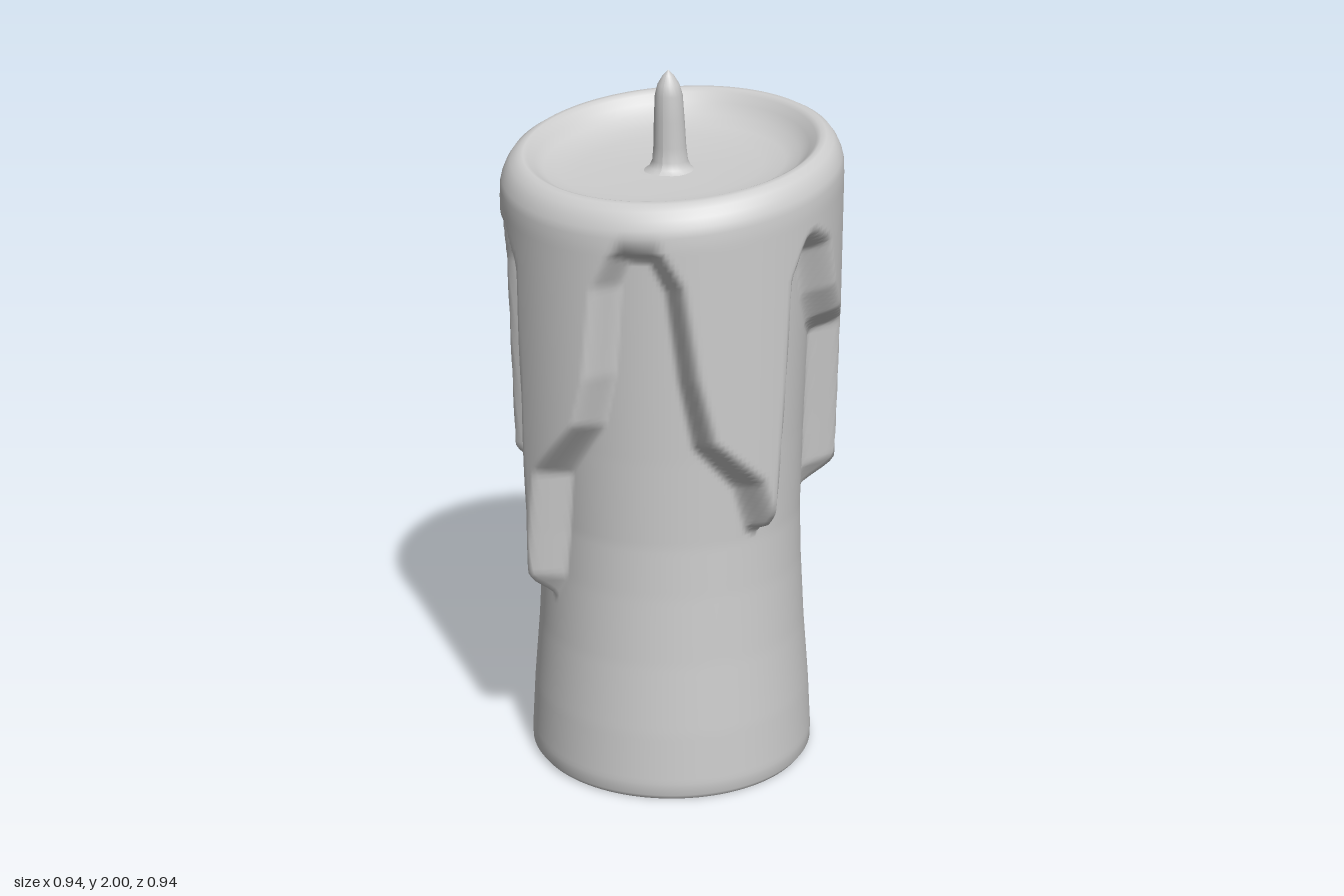
import * as THREE from 'three';

// Lower edge of the melted wax: [degrees from the front towards +x, height]
const DRIP_EDGE = [
  [0, 1.25], [3, 1.5], [8, 1.58], [17, 1.58], [23, 1.5], [28, 1.25], [34, 1.06], [52, 0.93],
  [58, 0.8], [63, 0.78], [67, 0.86], [70, 1.2], [72, 1.5], [77, 1.58], [84, 1.55], [90, 1.42],
  [98, 1.33], [108, 1.28], [114, 0.86], [120, 0.79], [126, 0.85], [132, 1.5], [138, 1.58],
  [148, 1.56], [168, 1.3], [187, 1.19], [193, 0.84], [200, 0.77], [207, 0.84], [227, 1.03],
  [232, 1.5], [238, 1.57], [257, 1.57], [262, 1.45], [266, 0.9], [275, 0.79], [285, 0.85],
  [290, 1.45], [295, 1.57], [308, 1.57], [316, 1.5], [320, 0.62], [325, 0.54], [331, 0.61],
  [336, 0.93], [355, 1.1], [360, 1.25],
];
const OUTER = 0.47;
const SEGMENTS = 240;
const SIDE_ROWS = 110;

// Rim and bowl loops: [radius, height above 1.8, slope towards the front]
const TOP_LOOPS = [
  [0.469, -0.075, 0.165], [0.464, -0.055, 0.165], [0.454, -0.033, 0.165], [0.44, -0.014, 0.165],
  [0.42, -0.002, 0.165], [0.405, -0.001, 0.165], [0.392, -0.008, 0.16], [0.375, -0.026, 0.15],
  [0.35, -0.046, 0.13], [0.31, -0.06, 0.11], [0.25, -0.067, 0.1], [0.17, -0.071, 0.09],
  [0.1, -0.073, 0.08], [0.03, -0.073, 0.05],
];

// Radius of the solid candle under the melted layer
const CORE = [[0, 0.4], [0.015, 0.411], [0.05, 0.411], [0.2, 0.402], [0.4, 0.385],
  [0.6, 0.373], [0.75, 0.368], [1, 0.372], [1.6, 0.39], [2, 0.4]];

function sample(table, t) {
  let i = 1;
  while (i < table.length - 1 && t > table[i][0]) i++;
  const [t0, v0] = table[i - 1], [t1, v1] = table[i];
  return v0 + (v1 - v0) * (t - t0) / (t1 - t0);
}

// Signed distance to the drip edge on the unrolled wall, positive inside the wax
function dripDistance(deg, y) {
  const arc = 0.43 * Math.PI / 180;
  let best = Infinity;
  for (let i = 1; i < DRIP_EDGE.length; i++) {
    const [a0, y0] = DRIP_EDGE[i - 1], [a1, y1] = DRIP_EDGE[i];
    for (const turn of [-360, 0, 360]) {
      const px = (deg + turn - a0) * arc, py = y - y0;
      const dx = (a1 - a0) * arc, dy = y1 - y0;
      const t = THREE.MathUtils.clamp((px * dx + py * dy) / (dx * dx + dy * dy), 0, 1);
      best = Math.min(best, Math.hypot(px - dx * t, py - dy * t));
    }
  }
  return y > sample(DRIP_EDGE, deg) ? best : -best;
}

function bodyGeometry() {
  const positions = [], index = [];
  const rows = SIDE_ROWS + TOP_LOOPS.length;
  for (let row = 0; row < rows; row++) {
    for (let s = 0; s < SEGMENTS; s++) {
      const deg = s * 360 / SEGMENTS;
      const a = deg * Math.PI / 180;
      let r, y;
      if (row < SIDE_ROWS) {
        // Wall with the drips raised from the core
        const top = 1.69 - 0.165 * OUTER * Math.cos(a);
        y = row < 3 ? CORE[row][0] : 0.05 + (top - 0.05) * (row - 2) / (SIDE_ROWS - 3);
        const core = sample(CORE, y);
        const wax = THREE.MathUtils.smoothstep(dripDistance(deg, y), -0.012, 0.045);
        r = core + (OUTER - core) * wax;
      } else {
        // Slanted rim and hollow top
        const [radius, height, slope] = TOP_LOOPS[row - SIDE_ROWS];
        r = radius;
        y = 1.8 + height - slope * r * Math.cos(a);
      }
      positions.push(r * Math.sin(a), y, r * Math.cos(a));
      if (row < rows - 1) {
        const p = row * SEGMENTS + s, q = row * SEGMENTS + (s + 1) % SEGMENTS;
        index.push(p, q, q + SEGMENTS, p, q + SEGMENTS, p + SEGMENTS);
      }
    }
  }
  const geometry = new THREE.BufferGeometry();
  geometry.setAttribute('position', new THREE.Float32BufferAttribute(positions, 3));
  geometry.setIndex(index);
  geometry.computeVertexNormals();
  return geometry;
}

// Slightly leaning wick with a flared foot and a pointed tip
function wickGeometry() {
  const profile = [[0.075, 1.722], [0.058, 1.732], [0.049, 1.75], [0.045, 1.79], [0.042, 1.86],
    [0.038, 1.93], [0.03, 1.96], [0.015, 1.985], [0, 2]];
  const geometry = new THREE.LatheGeometry(profile.map(([r, y]) => new THREE.Vector2(r, y)), 24);
  const p = geometry.attributes.position;
  for (let i = 0; i < p.count; i++) p.setZ(i, p.getZ(i) + 0.01 + (p.getY(i) - 1.74) * 0.05);
  geometry.computeVertexNormals();
  return geometry;
}

export function createModel() {
  const group = new THREE.Group();
  group.name = 'candle';
  const wax = new THREE.MeshStandardMaterial({ color: 0xcccccc });
  wax.name = 'pale grey';

  const add = (name, geometry) => {
    const mesh = new THREE.Mesh(geometry, wax);
    mesh.name = name;
    group.add(mesh);
  };
  add('waxBody', bodyGeometry());
  add('wick', wickGeometry());
  add('base', new THREE.CircleGeometry(0.4, 64).rotateX(Math.PI / 2));
  return group;
}
